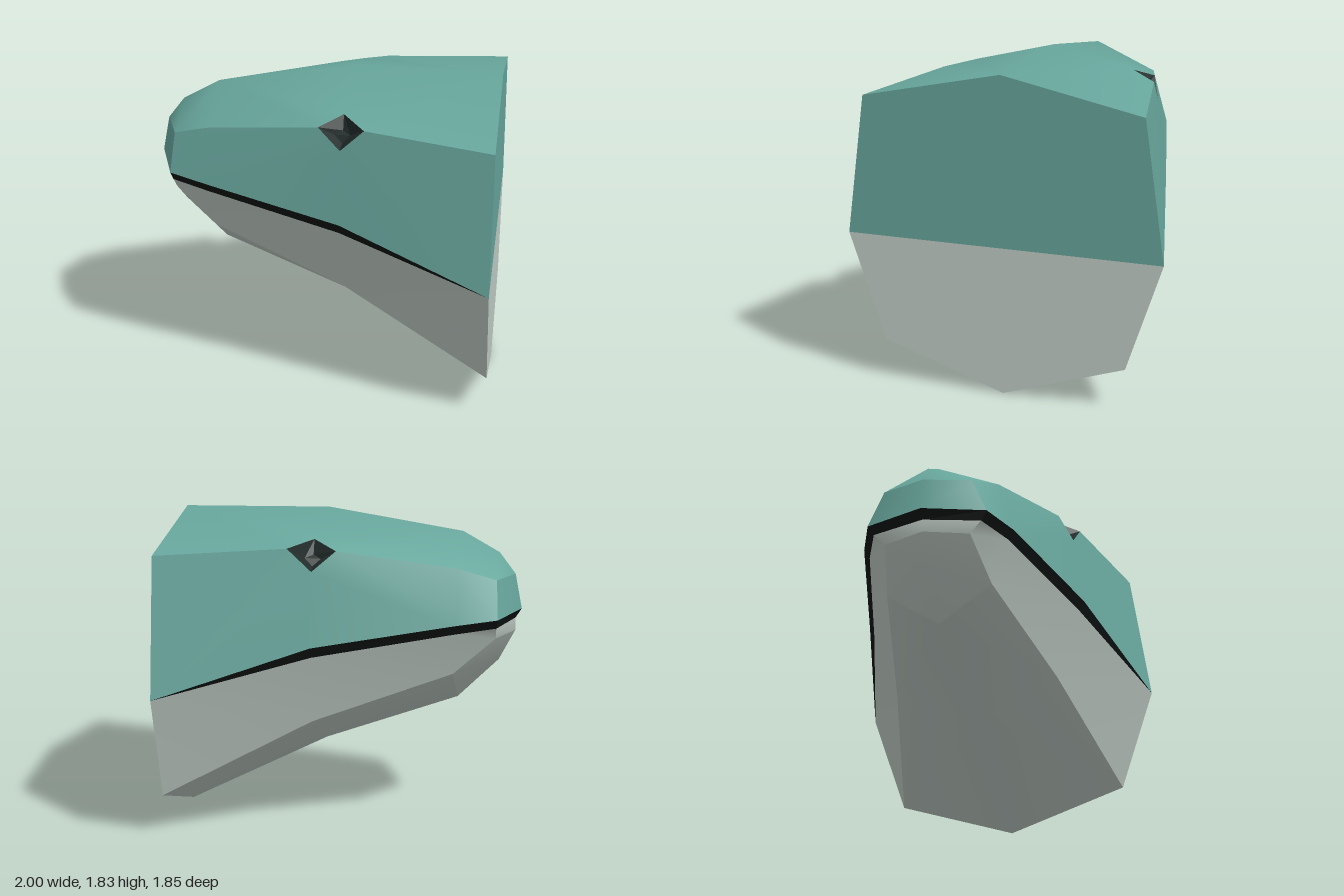
import * as THREE from 'three';
import { mergeVertices } from 'three/addons/utils/BufferGeometryUtils.js';

const mat = (name, color, side = THREE.FrontSide) => {
  const m = new THREE.MeshStandardMaterial({ color, side });
  m.name = name;
  return m;
};

// Builds a panel from polygons on the +z half, mirrored to -z. Each polygon is
// fanned from its first point and its triangles are turned to face outward.
const core = new THREE.Vector3(0.2, 1.1, 0);
function panel(name, material, polys, flat = false) {
  const pos = [];
  const n = new THREE.Vector3(), mid = new THREE.Vector3();
  for (const side of [1, -1]) {
    for (const poly of polys) {
      const pts = poly.map(([x, y, z]) => new THREE.Vector3(x, y, z * side));
      for (let i = 1; i < pts.length - 1; i++) {
        const tri = new THREE.Triangle(pts[0], pts[i], pts[i + 1]);
        if (tri.getArea() < 1e-7) continue;
        tri.getNormal(n);
        tri.getMidpoint(mid).sub(core);
        const order = n.dot(mid) > 0 ? [tri.a, tri.b, tri.c] : [tri.a, tri.c, tri.b];
        order.forEach((p) => pos.push(p.x, p.y, p.z));
      }
    }
  }
  let geo = new THREE.BufferGeometry();
  geo.setAttribute('position', new THREE.Float32BufferAttribute(pos, 3));
  if (!flat) geo = mergeVertices(geo);
  geo.computeVertexNormals();
  const mesh = new THREE.Mesh(geo, material);
  mesh.name = name;
  return mesh;
}

// Quads between two neighbouring edge lines
const strip = (a, b, from = 0, to = a.length - 1) => {
  const out = [];
  for (let i = from; i < to; i++) out.push([a[i], a[i + 1], b[i + 1], b[i]]);
  return out;
};

export function createModel() {
  const teal = mat('teal skin', 0x68a79d);
  const pale = mat('pale jaw', 0xc2cec7);
  const black = mat('mouth black', 0x101414, THREE.DoubleSide);
  const dark = mat('eye socket dark', 0x222c2b, THREE.DoubleSide);

  // Edge lines, from the neck (+x) to the snout (-x)
  const crown = [[1, 1.825, 0], [0.14, 1.835, 0], [-0.65, 1.71, 0], [-0.865, 1.59, 0]];
  const brow = [[1, 1.655, 0.815], [0.14, 1.68, 0.605], [-0.65, 1.55, 0.36], [-0.87, 1.47, 0.26]];
  const lip = [[1, 0.855, 0.925], [0.14, 1.13, 0.68], [-0.65, 1.235, 0.45], [-0.885, 1.255, 0.35], [-1, 1.26, 0]];
  const jaw = [[1, 0.855, 0.925], [0.14, 1.07, 0.65], [-0.65, 1.18, 0.415], [-0.875, 1.2, 0.315], [-0.965, 1.205, 0]];
  const cheek = [[1, 0.24, 0.715], [0.16, 0.66, 0.5], [-0.63, 0.925, 0.31], [-0.87, 1.13, 0.25], [-0.965, 1.13, 0]];
  const keel = [[1, 0.005, 0], [0.16, 0.43, 0], [-0.63, 0.715, 0], [-0.87, 0.95, 0]];
  const noseTop = [-0.96, 1.465, 0];

  // Eye socket corners: front, top, back, bottom, and the pupil inside them
  const socket = [[0.01, 1.665, 0.565], [0.145, 1.718, 0.48], [0.275, 1.685, 0.64], [0.14, 1.555, 0.625]];
  const pupil = [[0.1, 1.615, 0.535], [0.145, 1.635, 0.515], [0.19, 1.62, 0.55], [0.145, 1.575, 0.56]];
  const [eyeFront, eyeTop, eyeBack, eyeBottom] = socket;

  const head = new THREE.Group();
  head.name = 'head';
  head.add(
    // Upper head, cut open around the eyes
    panel('crown', teal, [
      [crown[0], brow[0], eyeBack, eyeTop, crown[1]],
      [crown[2], brow[2], eyeFront, eyeTop, crown[1]],
      ...strip(crown, brow, 2),
      [crown[3], brow[3], noseTop],
    ]),
    panel('headSides', teal, [
      [lip[0], brow[0], eyeBack, eyeBottom, lip[1]],
      [lip[2], brow[2], eyeFront, eyeBottom, lip[1]],
      ...strip(brow, lip, 2, 3),
    ]),
    panel('snout', teal, [[brow[3], lip[3], lip[4], noseTop]]),
    panel('neckUpper', teal, [[crown[0], brow[0], lip[0], [1, 0.855, 0]]]),
    // Mouth line
    panel('mouth', black, strip(lip, jaw), true),
    // Lower jaw
    panel('jawSides', pale, strip(jaw, cheek, 0, 3)),
    panel('jawTip', pale, [[jaw[3], cheek[3], cheek[4], jaw[4]]]),
    panel('throat', pale, strip(cheek, keel, 0, 2)),
    panel('chin', pale, [...strip(cheek, keel, 2, 3), [cheek[3], cheek[4], keel[3]]]),
    panel('neckLower', pale, [[[1, 0.855, 0], lip[0], cheek[0], keel[0]]]),
    // Eyes
    panel('eyeSockets', dark, socket.map((p, i) => {
      const j = (i + 1) % 4;
      return [p, socket[j], pupil[j], pupil[i]];
    }), true),
    panel('pupils', dark, [pupil], true),
  );
  return head;
}
